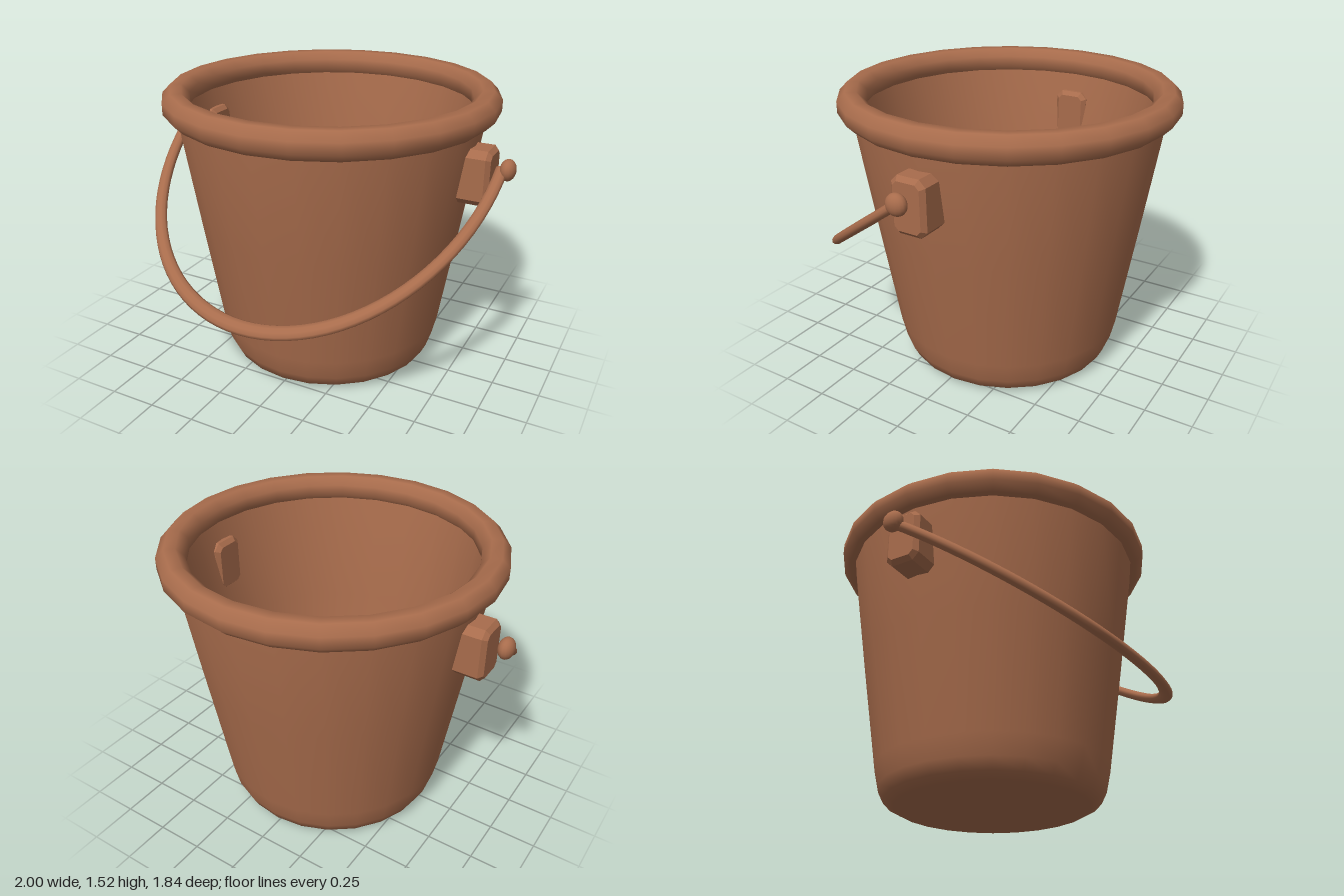
import * as THREE from 'three';

const SIDES = 24;
const CENTRE_Z = -0.047;

const clay = new THREE.MeshStandardMaterial({ color: 0xa86c4c });
clay.name = 'brown';

// Solid of revolution from [radius, height] pairs
function turned(name, pairs) {
  const points = pairs.map(([r, y]) => new THREE.Vector2(r, y));
  const mesh = new THREE.Mesh(new THREE.LatheGeometry(points, SIDES), clay);
  mesh.name = name;
  return mesh;
}

// Upright plate with bevelled edges, thickness along x
function bracketGeometry(depth, height, width) {
  const b = 0.022, w = width / 2, h = height / 2;
  const shape = new THREE.Shape();
  shape.moveTo(-w + 2 * b, -h + b);
  shape.lineTo(w - 2 * b, -h + b);
  shape.lineTo(w - b, -h + 2 * b);
  shape.lineTo(w - b, h - 2 * b);
  shape.lineTo(w - 2 * b, h - b);
  shape.lineTo(-w + 2 * b, h - b);
  shape.lineTo(-w + b, h - 2 * b);
  shape.lineTo(-w + b, -h + 2 * b);
  shape.closePath();
  const geometry = new THREE.ExtrudeGeometry(shape, {
    depth: depth - 2 * b, bevelEnabled: true, bevelThickness: b, bevelSize: b, bevelSegments: 1,
  });
  geometry.center();
  geometry.rotateY(Math.PI / 2);
  return geometry;
}

export function createModel() {
  const bucket = new THREE.Group();
  bucket.name = 'bucket';
  bucket.position.z = CENTRE_Z;

  // Tapered wall, outside then inside, with rounded base and floor
  bucket.add(turned('body', [
    [0, 0], [0.3, 0], [0.51, 0], [0.565, 0.03], [0.595, 0.09], [0.62, 0.2],
    [0.715, 0.8], [0.81, 1.42],
    [0.765, 1.42], [0.675, 0.8], [0.585, 0.22], [0.56, 0.13], [0.51, 0.08], [0.3, 0.075], [0, 0.075],
  ]));

  // Eight-sided rolled rim
  const roll = [];
  for (let i = 0; i <= 8; i++) {
    const a = (i / 8) * Math.PI * 2 - Math.PI * 0.625;
    roll.push([0.805 + 0.076 * Math.cos(a), 1.445 + 0.076 * Math.sin(a)]);
  }
  bucket.add(turned('rim', roll));

  // Side brackets and pivot knobs
  const plate = bracketGeometry(0.193, 0.285, 0.19);
  const ball = new THREE.SphereGeometry(0.055, 16, 12);
  for (const [side, sign] of [['left', 1], ['right', -1]]) {
    const bracket = new THREE.Mesh(plate, clay);
    bracket.name = side + 'Bracket';
    bracket.position.set(sign * 0.797, 1.15, 0);
    const knob = new THREE.Mesh(ball, clay);
    knob.name = side + 'Knob';
    knob.scale.x = 0.73;
    knob.position.set(sign * 0.96, 1.195, 0);
    bucket.add(bracket, knob);
  }

  // Bail handle: a stretched half ring hanging forward
  const handle = new THREE.Mesh(new THREE.TorusGeometry(0.93, 0.032, 10, 48, Math.PI), clay);
  handle.name = 'handle';
  handle.scale.set(1, 1.22, 0.8);
  handle.position.y = 1.195;
  handle.rotation.x = Math.PI / 2 + Math.atan2(0.655, 0.928);
  bucket.add(handle);

  const model = new THREE.Group();
  model.name = 'bucketModel';
  model.add(bucket);
  return model;
}
